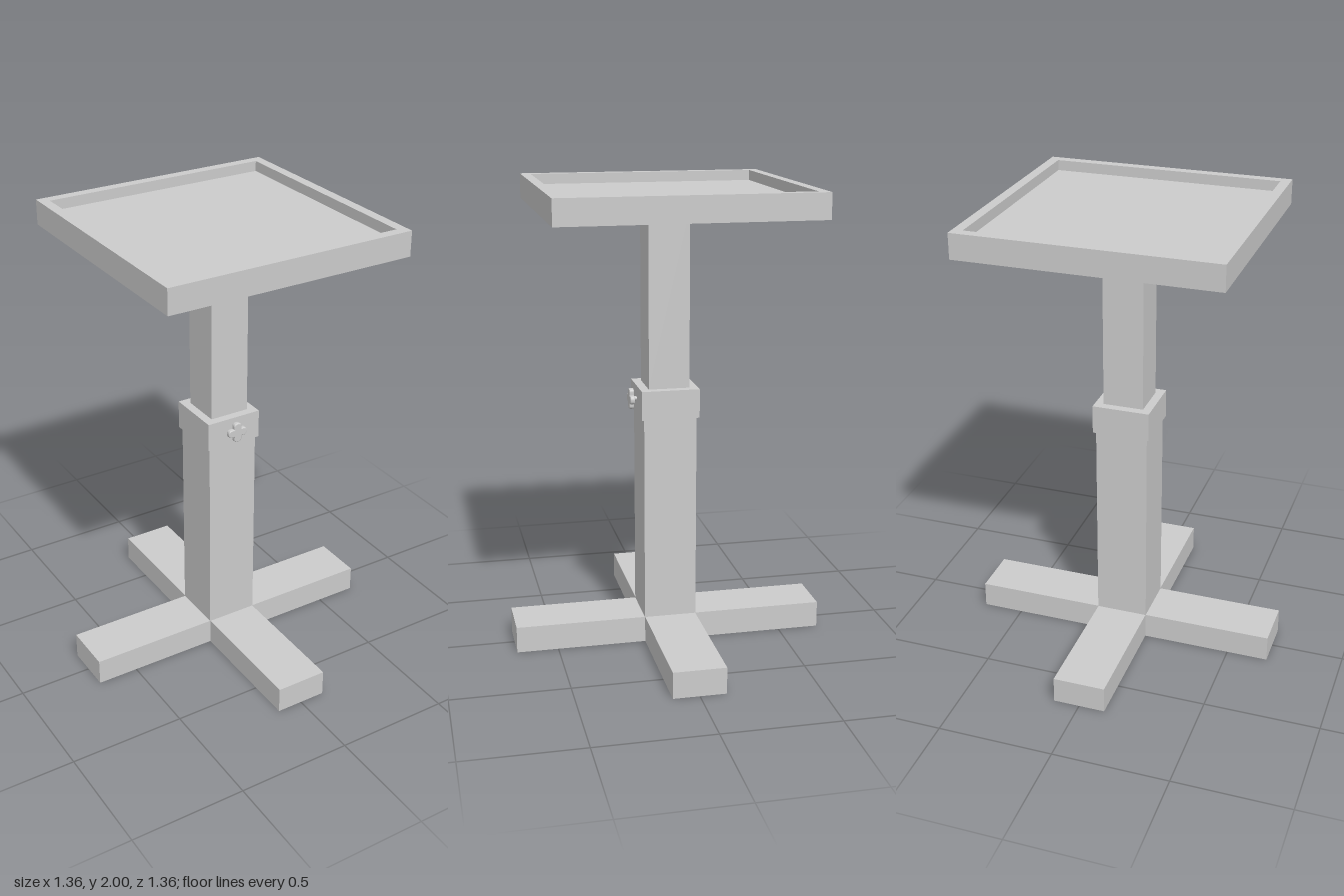
import * as THREE from 'three';

const material = new THREE.MeshStandardMaterial({ color: 0xcccccc });

function add(group, name, geometry, x = 0, y = 0, z = 0) {
  const mesh = new THREE.Mesh(geometry, material);
  mesh.name = name;
  mesh.position.set(x, y, z);
  group.add(mesh);
  return mesh;
}

// Square upright block between two heights
function block(group, name, half, y0, y1) {
  return add(group, name, new THREE.BoxGeometry(half * 2, y1 - y0, half * 2), 0, (y0 + y1) / 2, 0);
}

function square(half, Type = THREE.Shape) {
  return new Type([[-1, -1], [1, -1], [1, 1], [-1, 1]].map(([x, y]) => new THREE.Vector2(x * half, y * half)));
}

// Plus outline: arm half-width w, reach r
function crossShape(w, r) {
  const points = [];
  for (let i = 0; i < 4; i++) {
    for (const [x, y] of [[w, w], [w, r], [-w, r]]) {
      points.push(new THREE.Vector2(x, y).rotateAround(new THREE.Vector2(), i * Math.PI / 2));
    }
  }
  return new THREE.Shape(points);
}

// Plus outline with rounded arm ends and softened inner corners
function knobShape(w, r, fillet) {
  const shape = new THREE.Shape();
  const c = w + fillet;
  for (let i = 0; i < 4; i++) {
    const a = i * Math.PI / 2;
    const p = (x, y) => [x * Math.cos(a) - y * Math.sin(a), x * Math.sin(a) + y * Math.cos(a)];
    if (i === 0) shape.moveTo(...p(c, w));
    shape.quadraticCurveTo(...p(w, w), ...p(w, c));
    shape.lineTo(...p(w, r - w * 0.8));
    shape.quadraticCurveTo(...p(w, r), ...p(0, r));
    shape.quadraticCurveTo(...p(-w, r), ...p(-w, r - w * 0.8));
    shape.lineTo(...p(-w, c));
  }
  shape.closePath();
  return shape;
}

// Extrude a flat outline upward along y
function slab(shape, height) {
  return new THREE.ExtrudeGeometry(shape, { depth: height, bevelEnabled: false }).rotateX(-Math.PI / 2);
}

export function createModel() {
  const model = new THREE.Group();
  model.name = 'pedestalStand';

  // Crossed feet
  add(model, 'crossBase', slab(crossShape(0.113, 0.68), 0.115));

  // Telescoping column
  block(model, 'lowerPost', 0.114, 0.115, 1.02);
  block(model, 'collar', 0.125, 1.015, 1.14);
  block(model, 'upperPost', 0.088, 1.14, 1.9);

  // Locking knob on the front of the collar
  const knob = new THREE.Group();
  knob.name = 'lockingKnob';
  knob.position.set(0, 1.083, 0.125);
  const bevel = 0.005;
  add(knob, 'knobHead', new THREE.ExtrudeGeometry(knobShape(0.013, 0.04, 0.006), {
    depth: 0.011, bevelThickness: bevel, bevelSize: bevel, bevelSegments: 3, curveSegments: 8,
  }), 0, 0, 0.018);
  add(knob, 'knobStem', new THREE.CylinderGeometry(0.009, 0.009, 0.025, 20).rotateX(Math.PI / 2), 0, 0, 0.0075);
  model.add(knob);

  // Tray: floor panel with a raised rim around it
  const rim = square(0.543);
  rim.holes.push(square(0.5, THREE.Path));
  add(model, 'trayRim', slab(rim, 0.045), 0, 1.955, 0);
  block(model, 'trayFloor', 0.543, 1.893, 1.955);

  return model;
}
